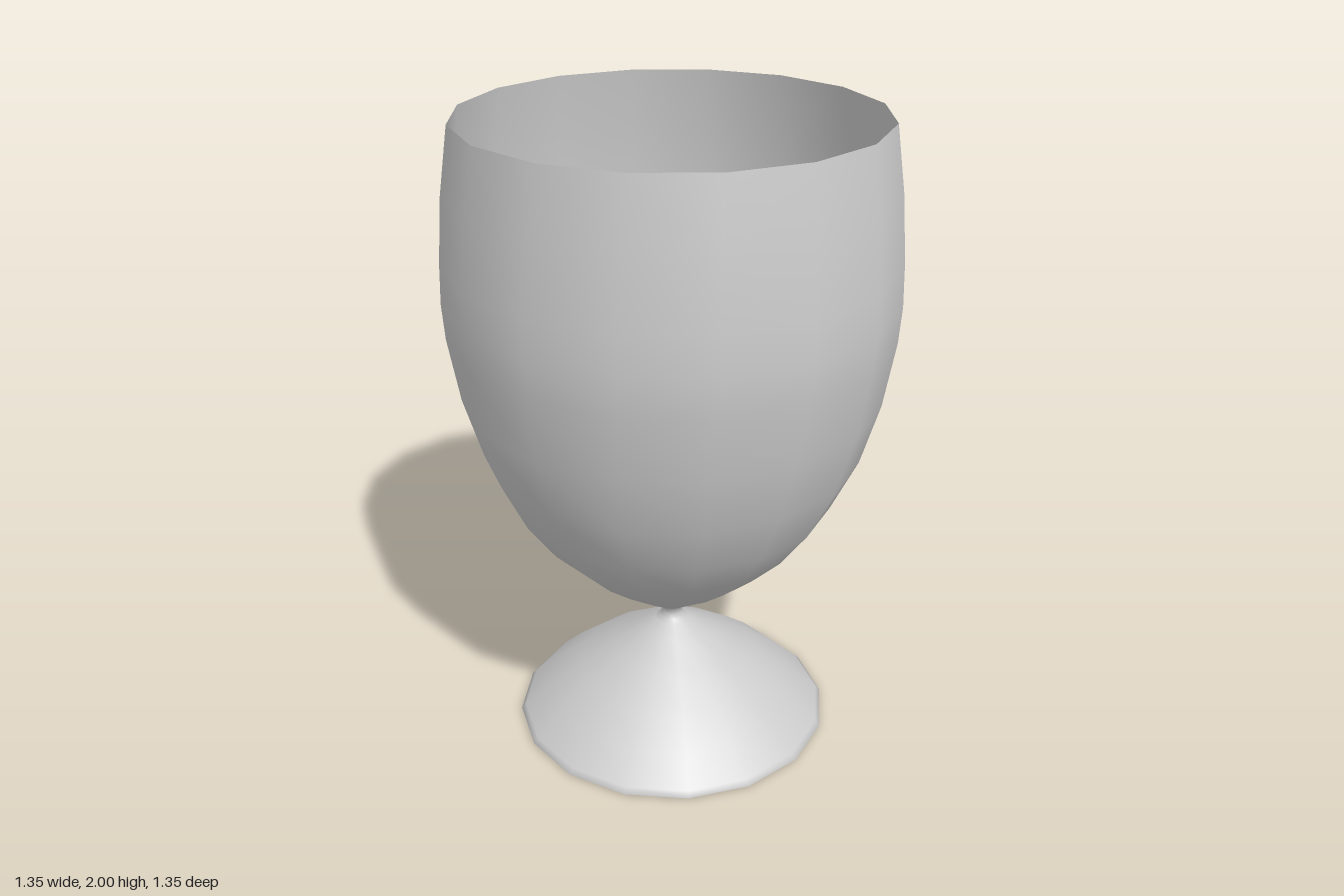
import * as THREE from 'three';

const SIDES = 16;

// Lathe a profile of [radius, height] pairs, with a slight twist growing with height
function turned(name, profile, material) {
  const geo = new THREE.LatheGeometry(profile.map(([r, y]) => new THREE.Vector2(r, y)), SIDES);
  const pos = geo.attributes.position;
  for (let i = 0; i < pos.count; i++) {
    const a = THREE.MathUtils.degToRad(2.6 + (pos.getY(i) - 1.48) * 3.2);
    const x = pos.getX(i), z = pos.getZ(i);
    pos.setX(i, x * Math.cos(a) + z * Math.sin(a));
    pos.setZ(i, z * Math.cos(a) - x * Math.sin(a));
  }
  const mesh = new THREE.Mesh(geo, material);
  mesh.name = name;
  return mesh;
}

export function createModel() {
  const group = new THREE.Group();
  group.name = 'goblet';
  const glass = new THREE.MeshStandardMaterial({ color: 0xcccccc, side: THREE.DoubleSide });
  glass.name = 'pale grey';

  // Thin open bowl
  group.add(turned('bowl', [
    [0.035, 0.39], [0.05, 0.4], [0.12, 0.448], [0.21, 0.51], [0.31, 0.59], [0.41, 0.69],
    [0.5, 0.815], [0.58, 0.98], [0.635, 1.17], [0.668, 1.37], [0.675, 1.48], [0.671, 1.6],
    [0.655, 1.8], [0.625, 2],
  ], glass));

  // Short waisted stem joining bowl and foot
  group.add(turned('stem', [
    [0.055, 0.342], [0.04, 0.352], [0.034, 0.368], [0.034, 0.385], [0.05, 0.4],
  ], glass));

  // Hollow domed foot with a rolled lower edge
  group.add(turned('foot', [
    [0.5, 0], [0.51, 0.004], [0.495, 0.02], [0.41, 0.1], [0.31, 0.178],
    [0.2, 0.25], [0.1, 0.314], [0.055, 0.342],
  ], glass));

  // Flat floor closing the bowl over the stem
  const floor = new THREE.Mesh(new THREE.CircleGeometry(0.05, SIDES), glass);
  floor.name = 'bowlFloor';
  floor.rotation.x = -Math.PI / 2;
  floor.position.y = 0.4;
  group.add(floor);

  return group;
}
